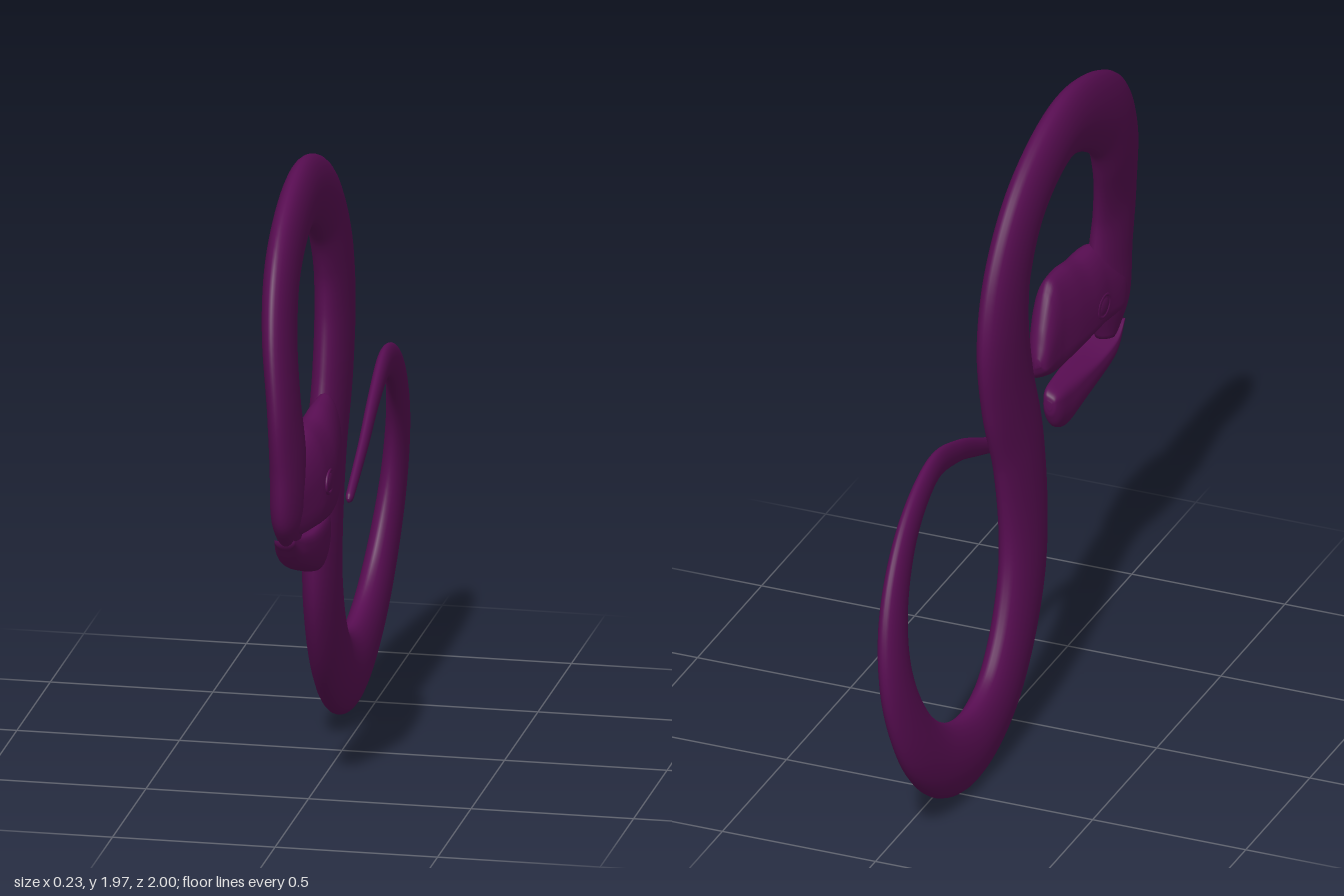
import * as THREE from 'three';

const SIDES = 28;

// Skin a list of rings (counter-clockwise about the direction of travel) and close both ends
function loft(rings) {
  const pos = [], idx = [], n = SIDES, last = (rings.length - 1) * n;
  rings.forEach(r => r.forEach(p => pos.push(p.x, p.y, p.z)));
  for (let i = 0; i < rings.length - 1; i++) {
    for (let j = 0; j < n; j++) {
      const a = i * n + j, b = i * n + (j + 1) % n;
      idx.push(a, b, a + n, b, b + n, a + n);
    }
  }
  [rings[0], rings[rings.length - 1]].forEach((ring, end) => {
    const c = ring.reduce((s, p) => s.add(p), new THREE.Vector3()).divideScalar(n);
    const ci = pos.length / 3;
    pos.push(c.x, c.y, c.z);
    for (let j = 0; j < n; j++) {
      const k = (j + 1) % n;
      if (end) idx.push(ci, last + j, last + k);
      else idx.push(ci, k, j);
    }
  });
  const g = new THREE.BufferGeometry();
  g.setAttribute('position', new THREE.Float32BufferAttribute(pos, 3));
  g.setIndex(idx);
  g.computeVertexNormals();
  return g;
}

// Smoothly interpolate five-number stations
function sampler(stations) {
  const a = new THREE.CatmullRomCurve3(stations.map(s => new THREE.Vector3(s[0], s[1], s[2])));
  const b = new THREE.CatmullRomCurve3(stations.map(s => new THREE.Vector3(s[3], s[4], 0)), false, 'catmullrom', 0.5);
  return { a, b };
}

// Flattened tube: stations are x, y, z, half width in the coil plane, half thickness in x
function bodyGeometry(stations, steps) {
  const { a, b } = sampler(stations), rings = [];
  for (let i = 0; i <= steps; i++) {
    const t = i / steps, c = a.getPoint(t), s = b.getPoint(t), d = a.getTangent(t);
    d.x = 0;
    d.normalize();
    rings.push(Array.from({ length: SIDES }, (_, j) => {
      const q = j / SIDES * Math.PI * 2, w = Math.sin(q) * s.x;
      return new THREE.Vector3(c.x + Math.cos(q) * s.y, c.y + d.z * w, c.z - d.y * w);
    }));
  }
  return loft(rings);
}

// Jaw: stations are centre x, top y, bottom y, half thickness, z; the lips tilt apart towards -x
function jawGeometry(stations, steps, topTilt, bottomTilt) {
  const { a, b } = sampler(stations), rings = [];
  for (let i = 0; i <= steps; i++) {
    const t = i / steps, c = a.getPoint(t), s = b.getPoint(t);
    const mid = (c.y + c.z) / 2, h = (c.y - c.z) / 2;
    rings.push(Array.from({ length: SIDES }, (_, j) => {
      const q = j / SIDES * Math.PI * 2, up = -Math.sin(q);
      const lip = up < 0 ? bottomTilt : topTilt;
      const boxy = lip ? 0.6 : 1;
      const x = Math.sign(Math.cos(q)) * Math.abs(Math.cos(q)) ** boxy * s.x;
      const y = Math.sign(up) * Math.abs(up) ** boxy * h;
      return new THREE.Vector3(c.x + x, mid + y + lip * (s.x - x) * Math.abs(up), s.y);
    }));
  }
  return loft(rings);
}

export function createModel() {
  const model = new THREE.Group();
  model.name = 'snake';
  const skin = new THREE.MeshStandardMaterial({ color: 0x580d52 });
  skin.name = 'purple skin';
  const add = (name, geometry, parent = model) => {
    const m = new THREE.Mesh(geometry, skin);
    m.name = name;
    parent.add(m);
    return m;
  };

  // Body from the back of the head, over the upper bend, round the lower coil to the tail tip
  add('body', bodyGeometry([
    [0.01, 0.91, 0.82, 0.05, 0.03],
    [0.01, 1.02, 0.84, 0.12, 0.05],
    [0.01, 1.18, 0.855, 0.13, 0.05],
    [0.0, 1.35, 0.865, 0.135, 0.045],
    [-0.025, 1.56, 0.81, 0.143, 0.048],
    [-0.04, 1.735, 0.69, 0.133, 0.05],
    [-0.05, 1.86, 0.36, 0.113, 0.05],
    [-0.05, 1.755, 0.06, 0.12, 0.052],
    [-0.045, 1.57, -0.075, 0.14, 0.054],
    [-0.045, 1.39, -0.115, 0.155, 0.055],
    [-0.045, 1.175, -0.08, 0.155, 0.055],
    [-0.05, 0.95, -0.01, 0.148, 0.055],
    [-0.055, 0.69, 0.02, 0.14, 0.055],
    [-0.06, 0.51, -0.005, 0.14, 0.055],
    [-0.065, 0.31, -0.11, 0.132, 0.055],
    [-0.066, 0.185, -0.24, 0.13, 0.054],
    [-0.066, 0.133, -0.435, 0.127, 0.053],
    [-0.063, 0.19, -0.645, 0.115, 0.05],
    [-0.052, 0.335, -0.81, 0.1, 0.046],
    [-0.03, 0.57, -0.907, 0.087, 0.04],
    [-0.01, 0.785, -0.883, 0.08, 0.035],
    [0.01, 0.98, -0.738, 0.065, 0.028],
    [0.03, 1.08, -0.49, 0.049, 0.022],
    [0.043, 1.035, -0.265, 0.036, 0.018],
    [0.052, 0.95, -0.06, 0.028, 0.015],
    [0.055, 0.855, 0.155, 0.018, 0.012],
    [0.055, 0.848, 0.17, 0.007, 0.005],
  ], 220));

  // Head: upper skull with snout, and the lower jaw
  const head = new THREE.Group();
  head.name = 'head';
  model.add(head);
  add('upperHead', jawGeometry([
    [0.01, 1.15, 0.97, 0.03, 0.93],
    [0.012, 1.2, 0.93, 0.055, 0.85],
    [0.033, 1.25, 0.925, 0.07, 0.74],
    [0.038, 1.25, 0.922, 0.075, 0.65],
    [0.04, 1.27, 0.92, 0.068, 0.55],
    [0.04, 1.275, 0.925, 0.055, 0.46],
    [0.037, 1.24, 0.94, 0.047, 0.41],
    [0.032, 1.16, 0.965, 0.037, 0.365],
    [0.028, 1.1, 0.99, 0.026, 0.34],
    [0.025, 1.06, 1.03, 0.01, 0.325],
  ], 60, 0, 0.5), head);
  add('lowerJaw', jawGeometry([
    [0.005, 0.955, 0.92, 0.03, 0.89],
    [0.01, 0.94, 0.83, 0.045, 0.81],
    [0.02, 0.922, 0.79, 0.045, 0.71],
    [0.028, 0.918, 0.755, 0.042, 0.6],
    [0.03, 0.915, 0.74, 0.038, 0.53],
    [0.03, 0.91, 0.765, 0.032, 0.465],
    [0.03, 0.895, 0.81, 0.022, 0.435],
    [0.03, 0.87, 0.84, 0.008, 0.427],
  ], 50, -0.4, 0), head);

  // Eyes: a raised rim around a low dome on each side
  [[1, 0.106], [-1, -0.034]].forEach(([side, x]) => {
    const eye = new THREE.Group();
    eye.name = side > 0 ? 'leftEye' : 'rightEye';
    eye.position.set(x, 1.075, 0.7);
    eye.rotation.y = side * Math.PI / 2;
    eye.scale.set(1.15, 0.9, 0.7);
    head.add(eye);
    add('eyeRim', new THREE.TorusGeometry(0.038, 0.007, 10, 32), eye);
    add('eyeball', new THREE.SphereGeometry(0.032, 24, 16), eye).scale.z = 0.3;
  });

  return model;
}
